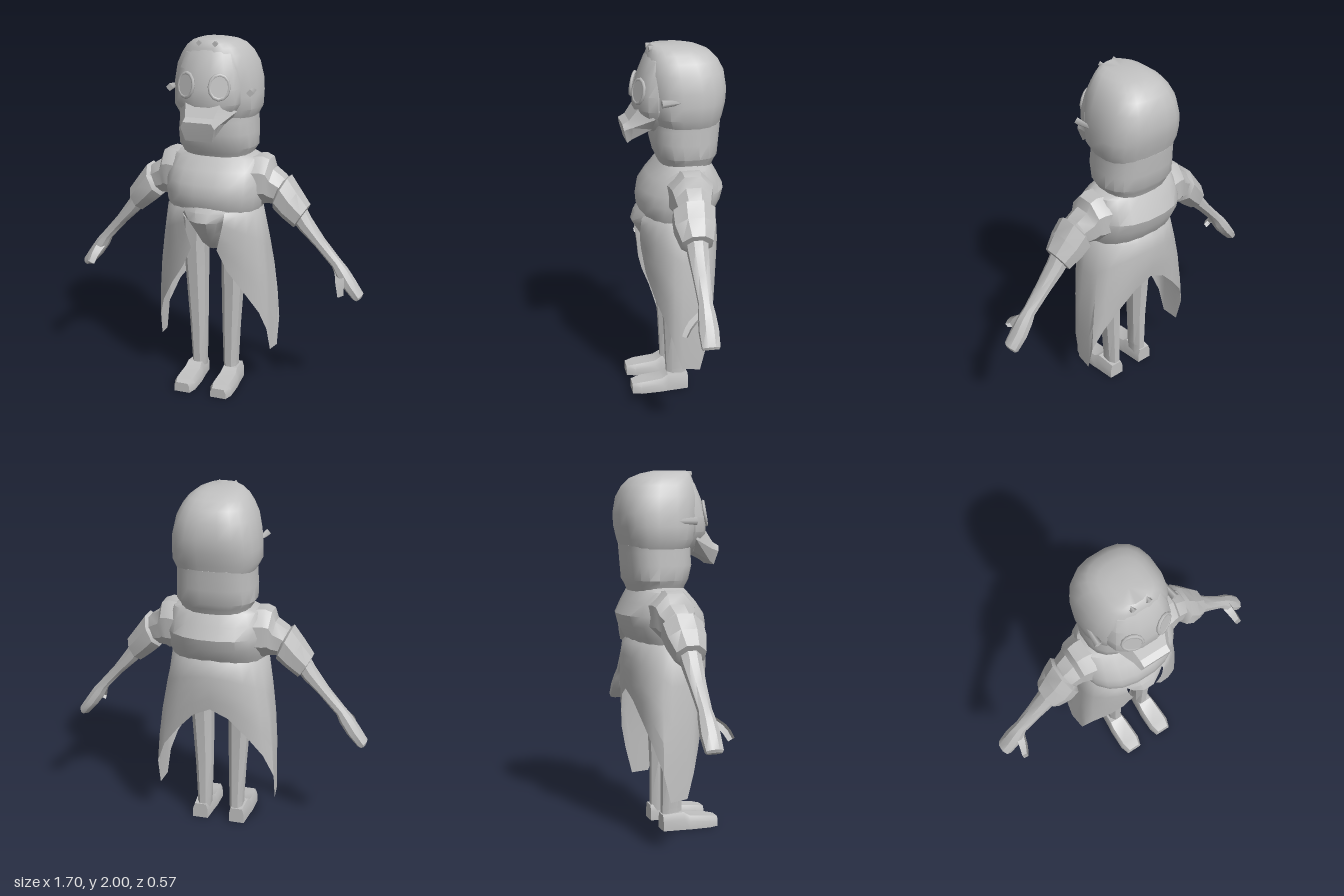
import * as THREE from 'three';
import { toCreasedNormals } from 'three/addons/utils/BufferGeometryUtils.js';

const grey = new THREE.MeshStandardMaterial({ color: 0xc0c0c0 });
grey.name = 'clothGrey';
const greySheet = new THREE.MeshStandardMaterial({ color: 0xc0c0c0, side: THREE.DoubleSide });
greySheet.name = 'clothGreySheet';

// Skins a list of cross-sections; s = -1 mirrors the part across x.
function loft(rings, { s = 1, closed = true, crease = 0.6 } = {}) {
  const rows = s < 0 ? [...rings].reverse() : rings;
  const n = rows[0].length, pos = [], idx = [];
  rows.forEach(r => r.forEach(p => pos.push(p[0] * s, p[1], p[2])));
  for (let i = 0; i < rows.length - 1; i++) {
    for (let j = 0; j < (closed ? n : n - 1); j++) {
      const k = (j + 1) % n, a = i * n + j, b = i * n + k;
      idx.push(a, b, b + n, a, b + n, a + n);
    }
  }
  if (closed) [0, rows.length - 1].forEach((row, end) => {
    const c = [0, 1, 2].map(k => rows[row].reduce((t, p) => t + p[k], 0) / n);
    const m = pos.length / 3;
    pos.push(c[0] * s, c[1], c[2]);
    for (let j = 0; j < n; j++) {
      const a = row * n + j, b = row * n + (j + 1) % n;
      end ? idx.push(a, b, m) : idx.push(b, a, m);
    }
  });
  const g = new THREE.BufferGeometry();
  g.setAttribute('position', new THREE.Float32BufferAttribute(pos, 3));
  g.setIndex(idx);
  return toCreasedNormals(g, crease);
}

// Horizontal rounded section: height, half width, front z, back z, roundness, x centre.
function level([y, rx, zf, zb], n = 20, power = 2, cx = 0) {
  const q = 2 / power, f = v => Math.sign(v) * Math.abs(v) ** q;
  return Array.from({ length: n }, (_, i) => {
    const t = (i + 0.5) / n * Math.PI * 2;
    return [cx + rx * f(Math.sin(t)), y, (zf + zb) / 2 + (zf - zb) / 2 * f(Math.cos(t))];
  });
}

// Limb section spanned by an upper and a lower point, with half depth d around z = zc.
function slice([tx, ty, bx, by, d, zc = -0.035], n = 8) {
  return Array.from({ length: n }, (_, i) => {
    const t = (i + 0.5) / n * Math.PI * 2;
    const c = THREE.MathUtils.clamp(Math.cos(t) * 1.12, -1, 1);
    const u = 0.5 + c / 2;
    return [bx + (tx - bx) * u, by + (ty - by) * u, zc + d * Math.sin(t) * 1.06];
  });
}

export function createModel() {
  const model = new THREE.Group();
  const add = (name, geo, mat = grey) => {
    const m = new THREE.Mesh(geo, mat);
    m.name = name;
    model.add(m);
    return m;
  };
  const body = (name, levels, n, power) => add(name, loft(levels.map(l => level(l, n, power))));

  // Head and trunk
  body('hood', [
    [1.57, 0.21, 0.11, -0.245], [1.63, 0.24, 0.14, -0.262], [1.70, 0.24, 0.15, -0.28],
    [1.77, 0.235, 0.155, -0.286], [1.86, 0.215, 0.16, -0.272], [1.92, 0.185, 0.15, -0.24],
    [1.96, 0.155, 0.14, -0.2], [1.985, 0.12, 0.13, -0.14], [2.0, 0.075, 0.115, -0.07],
  ], 20, 2.6);
  body('collar', [
    [1.33, 0.185, 0.07, -0.2], [1.38, 0.2, 0.09, -0.22], [1.41, 0.22, 0.105, -0.237],
    [1.49, 0.22, 0.125, -0.245], [1.56, 0.215, 0.12, -0.252], [1.6, 0.215, 0.12, -0.255],
  ], 20, 2.6);
  body('torso', [
    [1.06, 0.26, 0.18, -0.205], [1.1, 0.275, 0.2, -0.23], [1.16, 0.285, 0.205, -0.26],
    [1.22, 0.285, 0.195, -0.275], [1.29, 0.275, 0.145, -0.24], [1.35, 0.25, 0.09, -0.205],
    [1.375, 0.19, 0.07, -0.19],
  ], 20, 2.3);
  body('pelvis', [
    [0.82, 0.035, 0.06, -0.05], [0.87, 0.068, 0.13, -0.1], [0.94, 0.095, 0.19, -0.15],
    [1.02, 0.15, 0.238, -0.18], [1.07, 0.21, 0.22, -0.2], [1.11, 0.23, 0.19, -0.2],
  ], 16, 2);

  // Gas mask: face shell, snout and goggles
  body('maskFace', [
    [1.54, 0.09, 0.14, 0], [1.6, 0.14, 0.2, 0], [1.67, 0.18, 0.218, 0], [1.75, 0.18, 0.217, 0],
    [1.85, 0.165, 0.188, 0], [1.93, 0.14, 0.155, 0], [1.97, 0.1, 0.13, 0],
  ], 14, 2.1);
  const snout = half => [...half, ...half.map(([x, y, z]) => [-x, y, z]).reverse()];
  add('maskSnout', loft([
    snout([[0.1, 1.56, 0.13], [0.165, 1.63, 0.12], [0.1, 1.69, 0.19]]),
    snout([[0.08, 1.505, 0.235], [0.105, 1.575, 0.235], [0.08, 1.61, 0.25]]),
    snout([[0.075, 1.485, 0.26], [0.095, 1.56, 0.28], [0.08, 1.59, 0.285]]),
  ], { crease: 0.4 }));

  // Coat skirt: open at the front, long at the sides, raised at the back
  const hem = [
    [0.075, 0.86, 0.19], [0.13, 0.74, 0.175], [0.21, 0.62, 0.14], [0.29, 0.48, 0.085],
    [0.325, 0.37, 0.05], [0.335, 0.23, 0.01], [0.345, 0.22, -0.09], [0.345, 0.38, -0.13],
    [0.29, 0.52, -0.17], [0.2, 0.64, -0.2], [0.1, 0.75, -0.225], [0, 0.8, -0.235],
  ];
  const around = [0.45, 0.7, 0.95, 1.2, 1.4, 1.6, 1.8, 2.0, 2.25, 2.5, 2.8, Math.PI];
  const skirtRow = t => {
    const half = hem.map((h, i) => {
      const c = Math.cos(around[i]);
      const top = [0.275 * Math.sin(around[i]), 1.06, c * (c > 0 ? 0.215 : 0.24)];
      const puff = 1 + 0.05 * Math.sin(Math.PI * t);
      return top.map((v, k) => (h[k] + (v - h[k]) * t) * (k === 1 ? 1 : puff));
    });
    return [...half, ...half.slice(0, -1).reverse().map(([x, y, z]) => [-x, y, z])];
  };
  const waist = skirtRow(1).map(([x, , z]) => [x * 0.88, 1.1, z * 0.85]);
  add('coatSkirt', loft([...[0, 0.25, 0.5, 0.75, 1].map(skirtRow), waist],
    { closed: false, crease: 0.8 }), greySheet);

  for (const s of [1, -1]) {
    const side = s > 0 ? 'left' : 'right';
    const limb = (name, rows) => add(side + name, loft(rows.map(r => slice(r)), { s }));

    // Goggles and hood folds
    const eye = new THREE.Group();
    eye.name = side + 'Goggle';
    const rim = new THREE.Mesh(new THREE.TorusGeometry(0.052, 0.009, 6, 12), grey);
    rim.name = side + 'GoggleRim';
    const lens = new THREE.Mesh(new THREE.CylinderGeometry(0.05, 0.05, 0.012, 12).rotateX(Math.PI / 2), grey);
    lens.name = side + 'GoggleLens';
    eye.add(rim, lens);
    eye.position.set(s * 0.093, 1.77, 0.198);
    eye.rotation.set(-0.17, s * 0.4, 0);
    eye.scale.y = 1.22;
    model.add(eye);
    const sideFold = add(side + 'HoodFold', new THREE.ConeGeometry(0.022, 0.2, 4).rotateX(-Math.PI / 2));
    sideFold.position.set(s * 0.222, 1.73, 0.0);
    sideFold.rotation.y = s * 0.08;
    const topFold = add(side + 'CrownFold', new THREE.ConeGeometry(0.016, 0.17, 4).rotateX(-Math.PI / 2));
    topFold.position.set(s * 0.045, 1.984, 0.05);

    // Sleeve, cuff, forearm with hand, thumb
    limb('Sleeve', [
      [0.2, 1.355, 0.22, 1.1, 0.13, -0.05], [0.27, 1.365, 0.27, 1.09, 0.12, -0.05],
      [0.31, 1.35, 0.29, 1.1, 0.112, -0.05], [0.33, 1.295, 0.31, 1.1, 0.1, -0.05],
      [0.39, 1.255, 0.34, 1.1, 0.09, -0.045], [0.43, 1.2, 0.38, 1.07, 0.07, -0.04],
    ]);
    limb('Cuff', [
      [0.385, 1.235, 0.335, 1.1, 0.09, -0.04], [0.415, 1.255, 0.335, 1.08, 0.115, -0.04],
      [0.47, 1.18, 0.385, 1.035, 0.11, -0.035], [0.53, 1.1, 0.455, 0.98, 0.085, -0.035],
      [0.515, 1.07, 0.47, 0.99, 0.05, -0.035],
    ]);
    limb('ForearmAndHand', [
      [0.5, 1.1, 0.44, 1.02, 0.06], [0.54, 1.03, 0.485, 0.965, 0.055], [0.62, 0.92, 0.575, 0.88, 0.045],
      [0.715, 0.81, 0.675, 0.77, 0.037], [0.755, 0.765, 0.695, 0.725, 0.045],
      [0.8, 0.7, 0.74, 0.66, 0.052], [0.85, 0.625, 0.8, 0.595, 0.048], [0.845, 0.608, 0.815, 0.592, 0.042],
    ]);
    add(side + 'Thumb', loft([
      [0.72, 0.755, -0.01], [0.735, 0.715, 0.045], [0.745, 0.685, 0.07], [0.755, 0.645, 0.09],
    ].map(([x, y, z], i) => {
      const w = 0.024 - i * 0.003;
      return [[x - w, y - 0.012, z - w], [x + w, y + 0.004, z - w], [x + w, y + 0.012, z + w / 2], [x - w, y, z + w / 2]];
    }).reverse(), { s }));

    // Leg and shoe
    add(side + 'Leg', loft([
      [0.04, 0.04, 0.06, -0.062, 0.1], [0.12, 0.041, 0.06, -0.06, 0.097], [0.35, 0.05, 0.07, -0.06, 0.1],
      [0.6, 0.06, 0.085, -0.07, 0.107], [0.82, 0.068, 0.1, -0.085, 0.113], [1.0, 0.08, 0.11, -0.1, 0.11],
    ].map(r => level(r, 8, 2.3, r[4])), { s }));
    add(side + 'Shoe', loft([
      [-0.064, 0.045, 0.09], [0.055, 0.055, 0.1], [0.09, 0.06, 0.078], [0.21, 0.062, 0.066], [0.262, 0.046, 0.055],
    ].map(([z, w, h]) => [[w, 0], [w, h * 0.6], [w * 0.75, h], [-w * 0.75, h], [-w, h * 0.6], [-w, 0]]
      .map(([x, y]) => [0.11 + x, y, z])), { s }));
  }
  return model;
}
